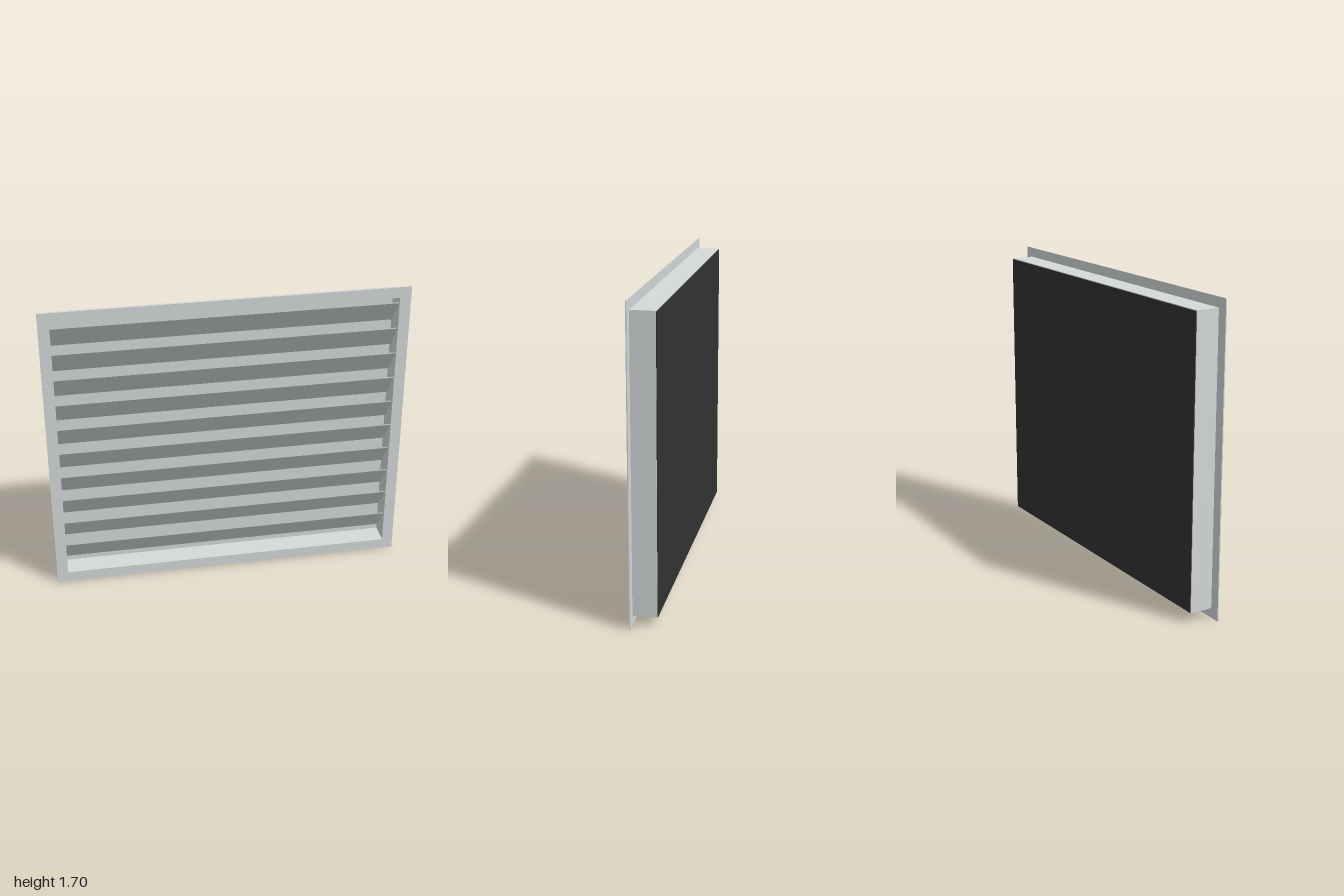
import * as THREE from 'three';

export function createModel() {
  const group = new THREE.Group();
  const material = (name, color) => {
    const m = new THREE.MeshStandardMaterial({ color });
    m.name = name;
    return m;
  };
  const metalGrey = material('metal grey', 0xd5d9d9);
  const panelBlack = material('panel black', 0x333333);

  const CY = 0.8485; // height of the centre
  const add = (name, geometry, mat, y = CY, z = 0) => {
    const mesh = new THREE.Mesh(geometry, mat);
    mesh.name = name;
    mesh.position.set(0, y, z);
    group.add(mesh);
  };

  const rectangle = (path, w, h) => {
    path.moveTo(-w, -h).lineTo(w, -h).lineTo(w, h).lineTo(-w, h).closePath();
    return path;
  };
  // Rectangular ring given by half sizes, extruded along z
  const ring = (w, h, innerW, innerH, depth) => {
    const shape = rectangle(new THREE.Shape(), w, h);
    shape.holes.push(rectangle(new THREE.Path(), innerW, innerH));
    return new THREE.ExtrudeGeometry(shape, { depth, bevelEnabled: false });
  };

  // Front flange and the duct sleeve behind it
  add('flange', ring(1, 0.8485, 0.938, 0.787, 0.006), metalGrey, CY, 0.064);
  add('sleeve', ring(0.944, 0.794, 0.938, 0.787, 0.13), metalGrey, CY, -0.066);

  // Light inner lining and dark rear panel
  add('backLining', new THREE.BoxGeometry(1.876, 1.574, 0.01), metalGrey, CY, -0.06);
  add('backPanel', new THREE.BoxGeometry(1.88, 1.58, 0.004), panelBlack, CY, -0.068);

  // Sloping blades, high at the front and low at the back
  const profile = new THREE.Shape([
    new THREE.Vector2(-0.04, 0),
    new THREE.Vector2(0.055, 0.138),
    new THREE.Vector2(0.055, 0.145),
    new THREE.Vector2(-0.04, 0.007),
  ]);
  const blade = new THREE.ExtrudeGeometry(profile, { depth: 1.876, bevelEnabled: false });
  blade.translate(0, 0, -0.938).rotateY(-Math.PI / 2); // profile x becomes z
  for (let i = 0; i < 10; i++) add('slat' + (i + 1), blade, metalGrey, 0.1 + i * 0.151);

  return group;
}
